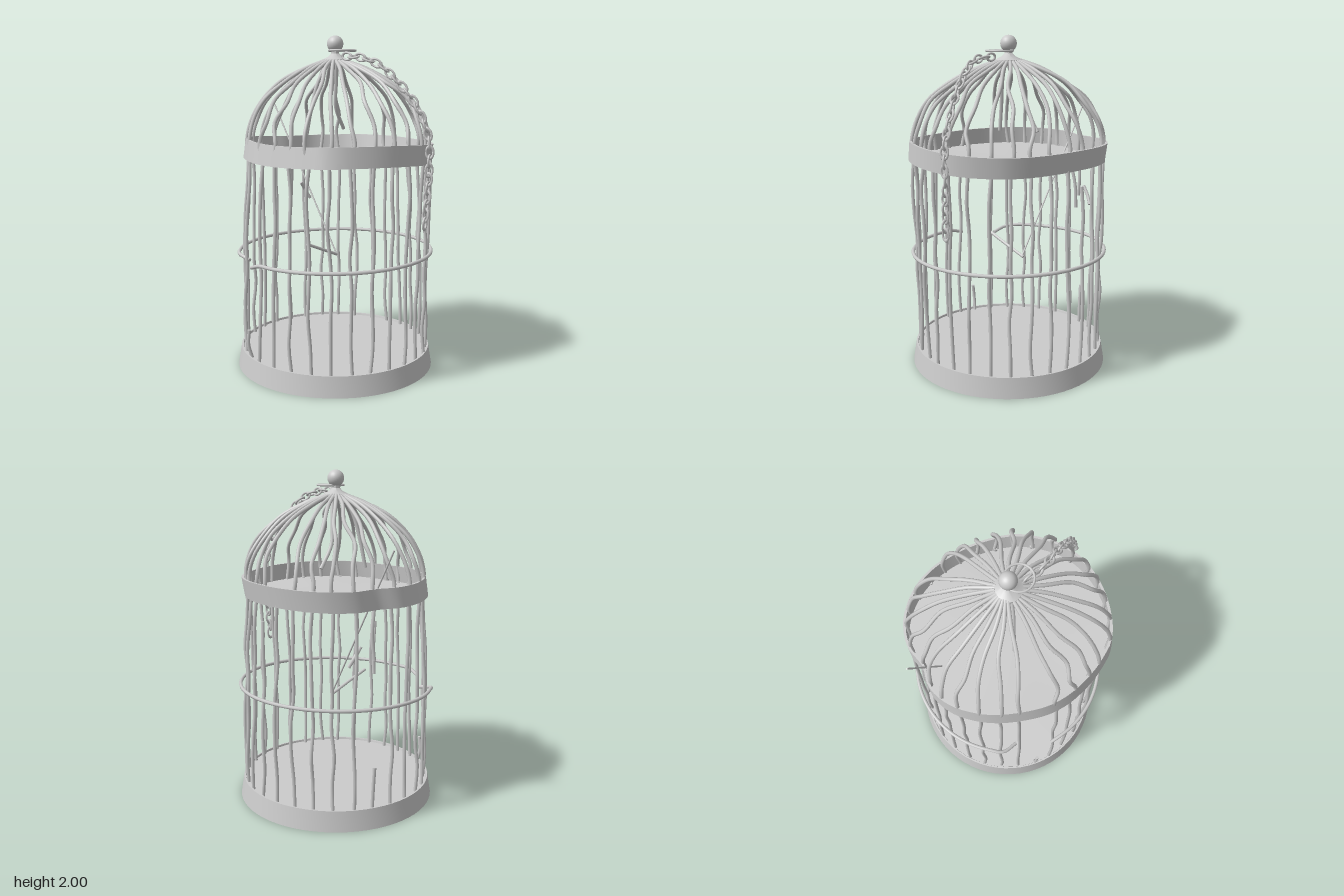
import * as THREE from 'three';
import { toCreasedNormals } from 'three/addons/utils/BufferGeometryUtils.js';

const V = (x, y, z) => new THREE.Vector3(x, y, z);
const CX = 0.01; // axis of the cage
const BARS = 30;

function seeded(seed) {
  return () => {
    seed = (seed * 16807) % 2147483647;
    return (seed / 2147483647) * 2 - 1;
  };
}

// Bent outline of the upper band, seen from above (x, z)
const outline = new THREE.CatmullRomCurve3([
  [0.605, 0], [0.56, 0.22], [0.45, 0.4], [0.21, 0.515], [-0.02, 0.54], [-0.25, 0.47],
  [-0.39, 0.385], [-0.51, 0.25], [-0.555, 0.1], [-0.525, -0.03], [-0.54, -0.17], [-0.47, -0.34],
  [-0.28, -0.49], [0, -0.54], [0.31, -0.48], [0.48, -0.35], [0.575, -0.2],
].map(([x, z]) => V(x, 0, z)), true).getPoints(360);

// Point of the band outline lying in the direction of angle a
function bandAt(a) {
  const dx = Math.cos(a), dz = Math.sin(a);
  let best = outline[0], score = -2;
  for (const p of outline) {
    const s = (p.x * dx + p.z * dz) / Math.hypot(p.x, p.z);
    if (s > score) { score = s; best = p; }
  }
  const r = Math.hypot(best.x, best.z);
  return V(dx * r, 0, dz * r);
}

export function createModel() {
  const model = new THREE.Group();
  const mat = new THREE.MeshStandardMaterial({ color: 0xcccccc });
  const rnd = seeded(4711);

  const add = (name, geo, parent = model) => {
    const mesh = new THREE.Mesh(geo, mat);
    mesh.name = name;
    parent.add(mesh);
    return mesh;
  };
  const group = (name) => {
    const g = new THREE.Group();
    g.name = name;
    model.add(g);
    return g;
  };
  const lathe = (pts, seg) =>
    new THREE.LatheGeometry(pts.map(([r, y]) => new THREE.Vector2(r, y)), seg);

  // Round rod along points, with closed ends
  const rod = (name, pts, r, parent, seg = 20) => {
    const curve = new THREE.CatmullRomCurve3(pts);
    const mesh = add(name, new THREE.TubeGeometry(curve, seg, r, 7), parent);
    for (const t of [0, 1]) {
      const cap = add(name + 'End', new THREE.CircleGeometry(r, 7), mesh);
      const dir = curve.getTangent(t).multiplyScalar(t ? 1 : -1);
      cap.position.copy(curve.getPoint(t));
      cap.quaternion.setFromUnitVectors(V(0, 0, 1), dir);
    }
    return mesh;
  };

  // Base tray
  const base = add('base', toCreasedNormals(lathe([
    [0, 0], [0.603, 0], [0.583, 0.12], [0.573, 0.12], [0.57, 0.107], [0, 0.107]], 64), 0.6));
  base.position.x = CX;

  // Dented upper band with its floor plate
  const band = lathe([[0, 0], [1, 0], [1, 0.115], [0.975, 0.115], [0.975, 0.012], [0, 0.012]], 96);
  const pos = band.attributes.position;
  for (let i = 0; i < pos.count; i++) {
    const x = pos.getX(i), y = pos.getY(i), z = pos.getZ(i);
    const rho = Math.hypot(x, z), a = Math.atan2(z, x);
    const p = bandAt(a).multiplyScalar(rho);
    const wave = 0.006 * Math.sin(3 * a + 1) * rho;
    pos.setXYZ(i, p.x, 1.267 + y + p.z * 0.015 + wave, p.z + 0.01 - y * 0.17);
  }
  add('upperBand', toCreasedNormals(band, 0.6));

  // Wall bars, bent, some of them broken
  const walls = group('wallBars');
  const broken = { 1: [[0.1, 0.28]], 14: [[0.1, 0.7]], 8: [[0.1, 0.36], [0.98, 1.27]] };
  for (let k = 0; k < BARS; k++) {
    const a = Math.PI / 2 + (k * Math.PI * 2) / BARS;
    const low = V(CX + Math.cos(a) * 0.562, 0, Math.sin(a) * 0.562);
    const high = bandAt(a).multiplyScalar(0.965);
    const spans = k === 14 ? [[0.1, 1.17]] : broken[k] || [[0.1, 1.29]];
    for (const [y0, y1] of spans) {
      const n = Math.max(2, Math.round((y1 - y0) * 6));
      const pts = [];
      for (let i = 0; i <= n; i++) {
        const y = y0 + ((y1 - y0) * i) / n;
        const t = (y - 0.1) / 1.19;
        const p = low.clone().lerp(high, t * t);
        p.x += rnd() * 0.009;
        p.z += rnd() * 0.009;
        if (k === 1) p.z += t * 0.12;
        p.y = y;
        pts.push(p);
      }
      rod('wallBar', pts, 0.0105, walls);
    }
  }
  // Loose snapped pieces on the damaged side
  rod('snappedBar', [V(-0.49, 0.95, -0.19), V(-0.5, 1.0, -0.16), V(-0.5, 1.06, -0.12)], 0.0105, walls, 6);
  rod('snappedBar', [V(-0.51, 0.9, -0.04), V(-0.5, 1.05, -0.04), V(-0.48, 1.19, -0.02)], 0.0105, walls, 8);

  // Middle hoop, snapped at the front
  const hoop = [];
  for (let i = 0; i <= 40; i++) {
    const a = THREE.MathUtils.degToRad(116 + i * 8.45);
    const r = 0.588 - (i === 0 ? 0.06 : 0);
    const droop = i === 0 ? 0.035 : i === 1 ? 0.012 : i === 40 ? 0.025 : 0;
    hoop.push(V(CX + Math.cos(a) * r, 0.712 - 0.01 * Math.sin(a) - droop, Math.sin(a) * r));
  }
  rod('middleHoop', hoop, 0.011, model, 120);

  // Dome bars: share of the band radius against height
  const dome = group('domeBars');
  const profile = [[0.965, 1.28], [0.97, 1.4], [0.92, 1.51], [0.8, 1.62], [0.6, 1.72], [0.34, 1.805], [0.1, 1.855]];
  for (let k = 0; k < BARS; k++) {
    if (k === 1 || k === 13) continue;
    const a = Math.PI / 2 + (k * Math.PI * 2) / BARS;
    const edge = bandAt(a);
    const pts = profile.map(([s, y], i) => {
      const p = edge.clone().multiplyScalar(s);
      const w = i > 0 && i < 5 ? 0.022 : 0;
      const side = rnd() * w;
      p.x += -Math.sin(a) * side;
      p.z += Math.cos(a) * side;
      p.y = y + rnd() * w * 0.5;
      return p;
    });
    rod('domeBar', pts, 0.0115, dome, 28);
  }
  // Two dome bars torn loose and hanging inside
  rod('hangingBar', [V(0, 1.85, 0.04), V(-0.02, 1.74, 0.1), V(-0.04, 1.58, 0.14), V(-0.05, 1.42, 0.17)], 0.0115, dome);
  rod('hangingBar', [V(-0.01, 1.85, -0.03), V(-0.04, 1.74, -0.05), V(-0.07, 1.58, -0.07), V(-0.09, 1.44, -0.15)], 0.0115, dome);

  // Crown and ball finial
  add('crown', toCreasedNormals(lathe([
    [0, 1.845], [0.078, 1.845], [0.078, 1.858], [0.04, 1.878], [0.024, 1.895], [0.022, 1.93], [0, 1.93]], 32), 0.6))
    .position.x = CX;
  add('finialBall', new THREE.SphereGeometry(0.049, 24, 16)).position.set(CX, 1.951, 0);

  // Ring round the finial
  const ring = add('chainRing', new THREE.TorusGeometry(0.078, 0.0065, 8, 32));
  ring.position.set(0.075, 1.91, 0);
  ring.rotation.set(Math.PI / 2, 0.62, 0, 'ZYX');

  // Chain lying over the dome and hanging down the side
  const chain = group('chain');
  const path = new THREE.CatmullRomCurve3([
    V(0.13, 1.875, 0.01), V(0.24, 1.865, -0.01), V(0.34, 1.82, -0.06), V(0.43, 1.73, -0.11),
    V(0.51, 1.62, -0.16), V(0.565, 1.5, -0.19), V(0.592, 1.4, -0.205), V(0.593, 1.2, -0.205), V(0.585, 0.93, -0.19)]);
  const link = new THREE.TorusGeometry(0.021, 0.0065, 6, 14);
  link.scale(1, 1.6, 1);
  const links = Math.round(path.getLength() / 0.052);
  for (let i = 0; i <= links; i++) {
    const m = add('chainLink', link, chain);
    m.position.copy(path.getPointAt(i / links));
    m.quaternion.setFromUnitVectors(V(0, 1, 0), path.getTangentAt(i / links));
    m.rotateY((i % 2) * Math.PI / 2 + 0.5 + rnd() * 0.25);
  }

  // Fallen swing: wire and perch
  const swing = group('swing');
  rod('swingWire', [V(-0.617, 1.59, 0.01), V(-0.33, 1.12, -0.025), V(-0.05, 0.66, -0.06)], 0.005, swing, 4);
  rod('swingPerch', [V(-0.055, 0.655, -0.065), V(-0.025, 0.71, 0.07), V(0, 0.765, 0.205)], 0.0095, swing, 4);

  return model;
}
